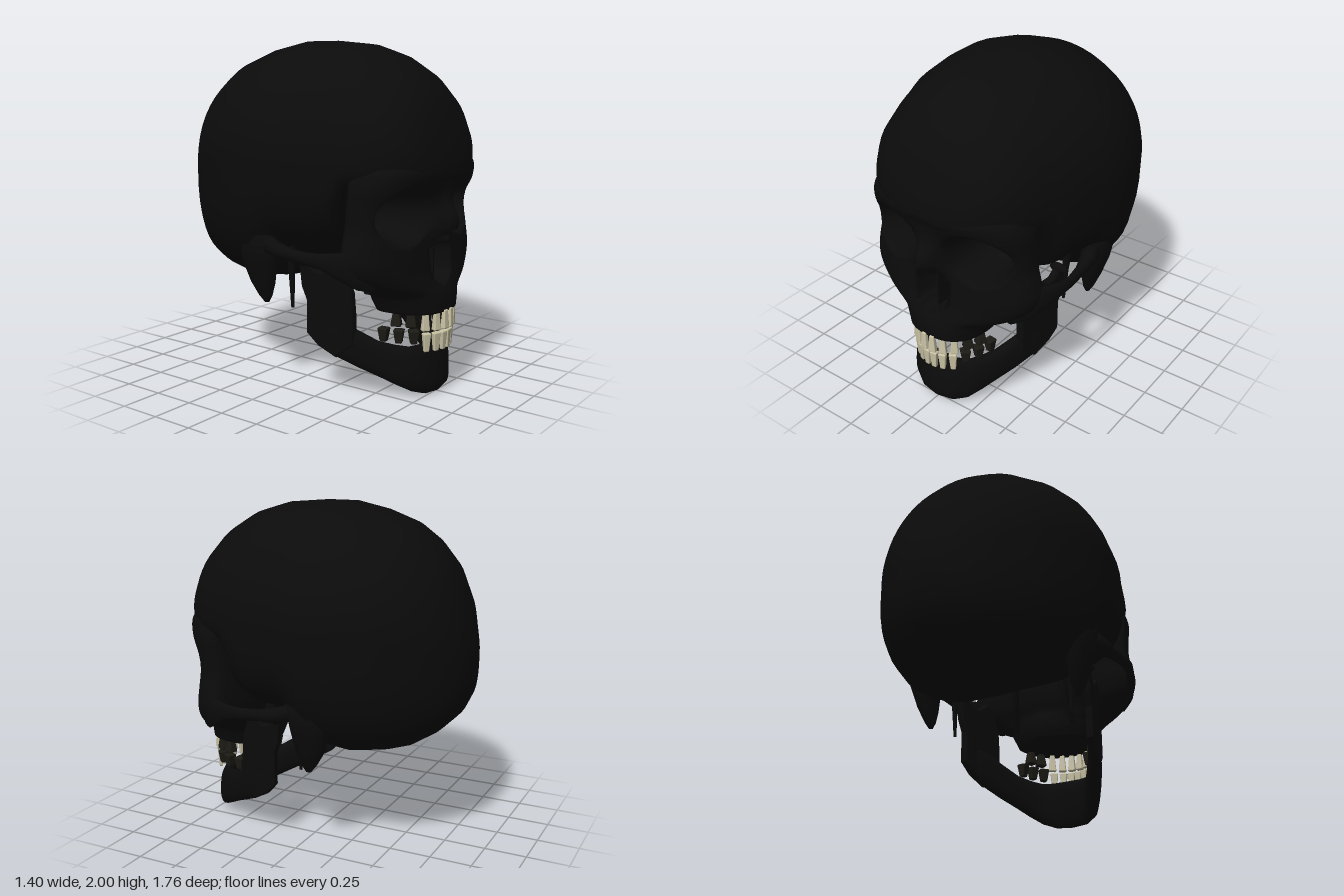
import * as THREE from 'three';
import { RoundedBoxGeometry } from 'three/addons/geometries/RoundedBoxGeometry.js';

const V = (x, y, z) => new THREE.Vector3(x, y, z);
const { smoothstep, lerp } = THREE.MathUtils;
const TAU = Math.PI * 2;
// signed power, for superellipses
const pw = (v, e) => Math.sign(v) * Math.abs(v) ** e;

// Skin closed rings of points, capped at both ends, always facing outward
function loft(rings, startTip) {
  const n = rings[0].length, m = rings.length, pts = rings.flat(), idx = [];
  const mid = r => r.reduce((s, p) => s.add(p), V(0, 0, 0)).divideScalar(n);
  pts.push(startTip || mid(rings[0]), mid(rings[m - 1]));
  for (let j = 0; j < n; j++) {
    const k = (j + 1) % n, e = (m - 1) * n;
    for (let i = 0; i < m - 1; i++) {
      const a = i * n + j, b = i * n + k;
      idx.push(a, b, a + n, b, b + n, a + n);
    }
    idx.push(m * n, k, j, m * n + 1, e + j, e + k);
  }
  let volume = 0;
  for (let i = 0; i < idx.length; i += 3)
    volume += pts[idx[i]].dot(V(0, 0, 0).crossVectors(pts[idx[i + 1]], pts[idx[i + 2]]));
  if (volume < 0) idx.reverse();
  const g = new THREE.BufferGeometry().setFromPoints(pts);
  g.setIndex(idx);
  g.computeVertexNormals();
  return g;
}

// Tapered bone along a path; rows are [x, y, z, radius across, radius up or along z]
function bone(rows, upright) {
  return loft(rows.map(([x, y, z, ra, rb]) => Array.from({ length: 14 }, (_, j) => {
    const a = j / 14 * TAU, c = ra * Math.cos(a), s = rb * Math.sin(a);
    return upright ? V(x + c, y, z + s) : V(x + c, y + s, z);
  })));
}

// Braincase: [z, top, bottom, height of widest point, half width]
const CRANIUM = [
  [-0.88, 1.2, 1.05, 1.12, 0.08], [-0.86, 1.33, 0.9, 1.14, 0.19], [-0.8, 1.54, 0.79, 1.2, 0.32],
  [-0.72, 1.7, 0.71, 1.25, 0.42], [-0.6, 1.82, 0.635, 1.3, 0.535], [-0.48, 1.9, 0.6, 1.32, 0.605],
  [-0.29, 1.965, 0.575, 1.34, 0.68], [-0.12, 2, 0.6, 1.34, 0.7], [-0.03, 2, 0.72, 1.34, 0.695],
  [0.05, 2, 0.79, 1.34, 0.685], [0.28, 1.98, 0.79, 1.33, 0.635], [0.38, 1.95, 0.85, 1.32, 0.595],
  [0.46, 1.925, 1.15, 1.33, 0.565], [0.6, 1.84, 1.2, 1.34, 0.515], [0.7, 1.74, 1.21, 1.35, 0.435],
  [0.76, 1.62, 1.21, 1.35, 0.36], [0.8, 1.5, 1.22, 1.33, 0.28], [0.83, 1.36, 1.25, 1.3, 0.14],
];

function cranium() {
  return loft(CRANIUM.map(([z, top, bottom, wide, w]) => Array.from({ length: 48 }, (_, j) => {
    const a = j / 48 * TAU, c = Math.cos(a), s = Math.sin(a);
    return s >= 0 ? V(w * c, wide + (top - wide) * s, z)
      : V(w * pw(c, 2 / 3), wide + (wide - bottom) * pw(s, 2 / 3), z);
  })));
}

// Face: [y, front z, half width, z of the widest point]
const FACE = [
  [0.49, 0.82, 0.25, 0.54], [0.55, 0.82, 0.275, 0.52], [0.6, 0.81, 0.31, 0.52], [0.65, 0.79, 0.43, 0.53],
  [0.72, 0.77, 0.53, 0.51], [0.8, 0.76, 0.57, 0.5], [0.9, 0.75, 0.56, 0.5], [0.98, 0.75, 0.54, 0.5],
  [1.1, 0.765, 0.535, 0.51], [1.22, 0.81, 0.535, 0.52], [1.3, 0.83, 0.515, 0.5], [1.36, 0.8, 0.48, 0.48],
];

function face() {
  const curve = new THREE.CubicInterpolant(FACE.map(r => r[0]), FACE.flatMap(r => r.slice(1)), 3);
  const rings = [];
  for (let i = 0; i <= 64; i++) {
    const y = lerp(0.49, 1.36, i / 64), [zf, w, zb] = Array.from(curve.evaluate(y));
    rings.push(Array.from({ length: 144 }, (_, j) => {
      const a = j / 144 * TAU, c = Math.cos(a), s = Math.sin(a);
      // pinched back wall behind the cheekbones
      if (s < 0) return V(w * pw(c, 2), y, zb + 0.17 * s);
      const x = w * pw(c, 0.8);
      let z = zb + (zf - zb) * s ** 0.8;
      // nasal bones
      z += 0.13 * Math.exp(-((x / 0.075) ** 2) - ((y - 1) / 0.13) ** 2);
      // eye sockets
      const r2 = ((Math.abs(x) - 0.29) / 0.2) ** 2 + ((y - 1.06) / 0.175) ** 2;
      z = lerp(z, Math.min(z, 0.44), smoothstep(1 - r2, 0, 0.75));
      // pear-shaped nasal opening
      const u = (y - 0.65) / 0.31;
      if (u > 0 && u < 1) {
        const half = 0.26 * Math.sqrt(u) * (1 - u) ** 0.8;
        z = lerp(z, 0.52, smoothstep(1 - (x / half) ** 2, 0, 0.5));
      }
      return V(x, y, z);
    }));
  }
  return loft(rings, V(0, 0.57, 0.6)); // vaulted palate underneath
}

// Jaw body, centre to side: [x, z, bottom, top, half thickness]
const JAW = [
  [0, 0.725, 0, 0.29, 0.05], [0.1, 0.715, 0.005, 0.29, 0.05], [0.17, 0.68, 0.03, 0.29, 0.048],
  [0.22, 0.61, 0.07, 0.3, 0.046], [0.27, 0.53, 0.115, 0.32, 0.045], [0.33, 0.43, 0.165, 0.38, 0.042],
  [0.38, 0.33, 0.215, 0.44, 0.036], [0.41, 0.25, 0.27, 0.46, 0.028],
];

function jawBody() {
  const rows = [...JAW.slice(1).reverse().map(([x, ...r]) => [-x, ...r]), ...JAW];
  return loft(rows.map(([x, z, bottom, top, t], i) => {
    const p = rows[Math.max(i - 1, 0)], q = rows[Math.min(i + 1, rows.length - 1)];
    const out = V(p[1] - q[1], 0, q[0] - p[0]).normalize();
    return Array.from({ length: 20 }, (_, j) => {
      const a = j / 20 * TAU, s = Math.sin(a), d = t * pw(Math.cos(a), 0.75);
      // chin stands forward just above its lower edge
      const chin = 0.02 * Math.exp(-((x / 0.15) ** 2)) * -Math.sin(s * 2);
      return V(x + out.x * d, (top + bottom) / 2 + (top - bottom) / 2 * pw(s, 0.8), z + out.z * d + chin);
    });
  }));
}

// Jaw ramus, cut from its side outline (z, y) and slanted so the rear flares outward
function ramus() {
  const shape = new THREE.Shape([
    [0.16, 0.35], [0.225, 0.28], [0.33, 0.22], [0.43, 0.3], [0.43, 0.47], [0.42, 0.6], [0.38, 0.72],
    [0.33, 0.77], [0.285, 0.73], [0.25, 0.71], [0.2, 0.72], [0.16, 0.77], [0.115, 0.77], [0.13, 0.62], [0.16, 0.54],
  ].map(([z, y]) => new THREE.Vector2(z, y)));
  const g = new THREE.ExtrudeGeometry(shape, {
    depth: 0.025, bevelEnabled: true, bevelSize: 0.012, bevelOffset: -0.012, bevelThickness: 0.012, bevelSegments: 2,
  });
  const p = g.attributes.position;
  for (let i = 0; i < p.count; i++) {
    const z = p.getX(i), y = p.getY(i), d = p.getZ(i);
    p.setXYZ(i, -(0.425 - (z - 0.16) * 0.28 + d), y, z);
  }
  g.computeVertexNormals();
  return g;
}

// Tooth tapering toward its root
function tooth(w, h, d, rootUp) {
  const g = new RoundedBoxGeometry(w, h, d, 2, 0.008), p = g.attributes.position;
  for (let i = 0; i < p.count; i++) {
    const k = 1 - 0.4 * (0.5 + (rootUp ? 1 : -1) * p.getY(i) / h);
    p.setXYZ(i, p.getX(i) * k, p.getY(i), p.getZ(i) * k);
  }
  g.computeVertexNormals();
  return g;
}

export function createModel() {
  const model = new THREE.Group();
  model.name = 'skull';
  const dark = new THREE.MeshStandardMaterial({ color: 0x0b0b0b });
  const ivory = new THREE.MeshStandardMaterial({ color: 0xc9c3a4 });
  const darkTooth = new THREE.MeshStandardMaterial({ color: 0x1c1b15 });

  const add = (name, geometry, material = dark) => {
    const mesh = new THREE.Mesh(geometry, material);
    mesh.name = name;
    model.add(mesh);
    return mesh;
  };
  const pair = (name, geometry) => {
    add(name, geometry);
    add(name + 'Mirrored', geometry).scale.x = -1;
  };

  add('cranium', cranium());
  add('face', face());
  add('nasalSeptum', new THREE.BoxGeometry(0.014, 0.24, 0.2)).position.set(0, 0.77, 0.62);
  add('jawBody', jawBody());
  pair('jawRamus', ramus());
  pair('jawCondyle', new THREE.SphereGeometry(1, 16, 12).scale(0.06, 0.03, 0.028).translate(0.44, 0.765, 0.14));

  // Cheek arch from cheekbone to temple
  pair('cheekArch', bone([
    [0.44, 0.76, 0.63, 0.05, 0.11], [0.52, 0.775, 0.56, 0.035, 0.105], [0.575, 0.8, 0.47, 0.028, 0.075],
    [0.61, 0.82, 0.38, 0.025, 0.045], [0.62, 0.825, 0.29, 0.024, 0.036], [0.61, 0.83, 0.18, 0.03, 0.035],
    [0.59, 0.84, 0.07, 0.05, 0.045], [0.57, 0.86, -0.02, 0.05, 0.05],
  ]));
  pair('mastoidProcess', bone([
    [0.55, 0.92, -0.12, 0.09, 0.15], [0.535, 0.75, -0.12, 0.075, 0.12], [0.52, 0.62, -0.11, 0.05, 0.085],
    [0.51, 0.54, -0.1, 0.03, 0.045], [0.505, 0.5, -0.095, 0.012, 0.015],
  ], true));
  pair('styloidProcess', bone([
    [0.42, 0.84, 0.02, 0.035, 0.03], [0.41, 0.68, 0.015, 0.018, 0.02], [0.4, 0.46, 0.012, 0.008, 0.01],
  ], true));
  pair('pterygoidPlate', bone([
    [0.17, 0.86, 0.36, 0.03, 0.07], [0.18, 0.7, 0.37, 0.018, 0.055], [0.2, 0.56, 0.41, 0.012, 0.03],
  ], true));

  // Teeth along both dental arches
  const row = (name, angles, rx, rz, y, molarY, rootUp) => {
    for (const side of [1, -1]) angles.forEach((deg, i) => {
      const a = deg * Math.PI / 180, molar = i > 2;
      const g = tooth(molar ? 0.062 : 0.05, molar ? 0.08 : 0.11, molar ? 0.06 : 0.035, rootUp);
      const mesh = add(name, g, molar ? darkTooth : ivory);
      mesh.position.set(side * rx * Math.sin(a), molar ? molarY : y, 0.51 + rz * Math.cos(a));
      mesh.rotation.y = side * a;
    });
  };
  row('upperTooth', [7, 22, 37, 54, 70], 0.235, 0.31, 0.445, 0.455, true);
  row('lowerTooth', [6, 19, 33, 49, 66, 84], 0.235, 0.295, 0.32, 0.355, false);
  return model;
}
